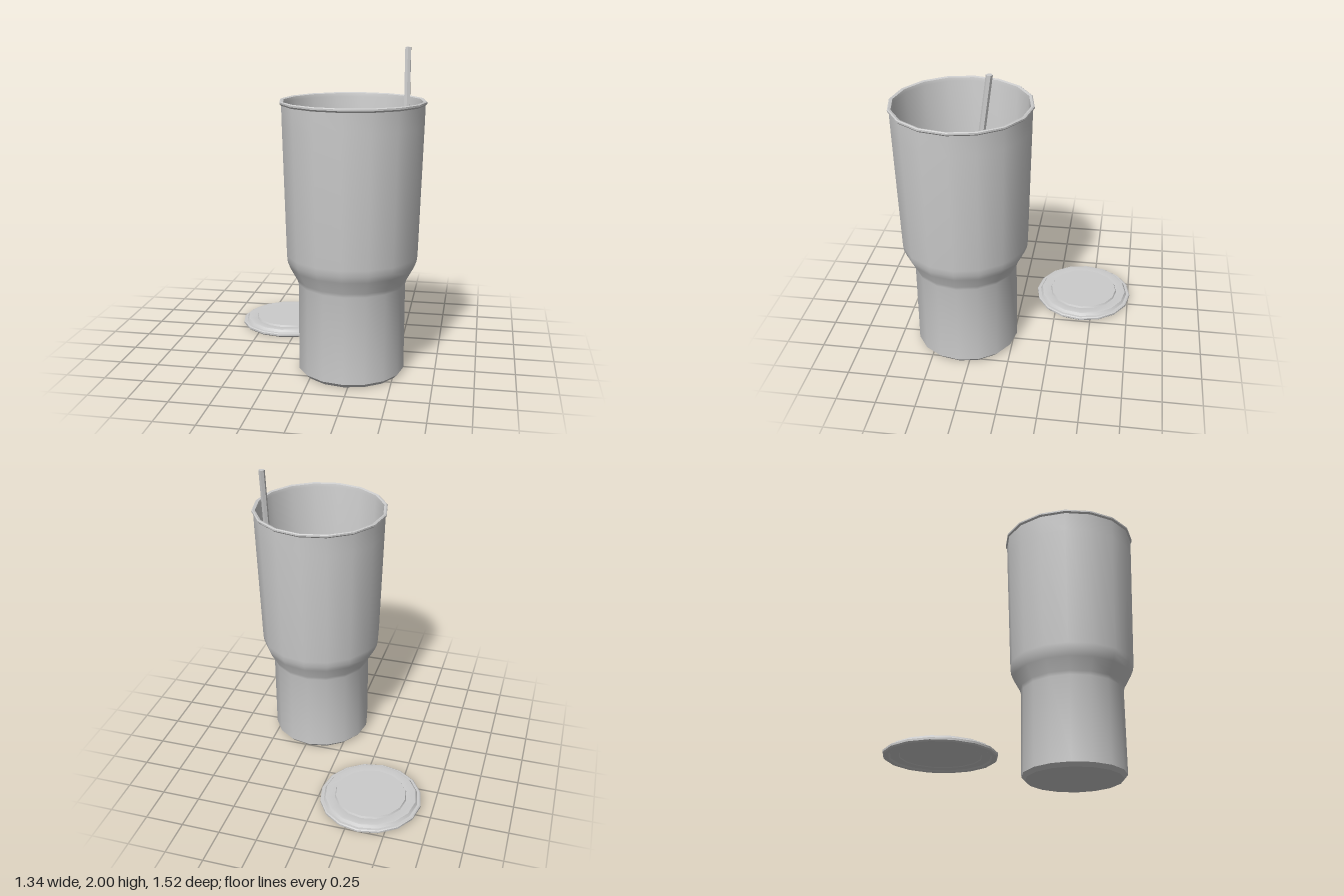
import * as THREE from 'three';
import { toCreasedNormals } from 'three/addons/utils/BufferGeometryUtils.js';

const SIDES = 16;

function createMaterial() {
  return new THREE.MeshStandardMaterial({ color: 0xcccccc });
}

// Revolve a closed [radius, height] profile, smooth around and sharp at the steps
function turned(name, profile, x, z) {
  const points = profile.map(([r, y]) => new THREE.Vector2(r, y));
  const geometry = toCreasedNormals(new THREE.LatheGeometry(points, SIDES), 0.6);
  const mesh = new THREE.Mesh(geometry, createMaterial());
  mesh.name = name;
  mesh.position.set(x, 0, z);
  return mesh;
}

// Straight six-sided straw, sheared so both ends stay level
function createStraw(bottom, top, radius) {
  const height = top.y - bottom.y;
  const geometry = new THREE.CylinderGeometry(radius, radius, height, 6);
  geometry.translate(0, height / 2, 0);
  const position = geometry.attributes.position;
  for (let i = 0; i < position.count; i++) {
    const t = position.getY(i) / height;
    position.setX(i, position.getX(i) + t * (top.x - bottom.x));
    position.setZ(i, position.getZ(i) + t * (top.z - bottom.z));
  }
  const mesh = new THREE.Mesh(toCreasedNormals(geometry, 0.6), createMaterial());
  mesh.name = 'straw';
  mesh.position.copy(bottom);
  return mesh;
}

export function createModel() {
  const model = new THREE.Group();
  model.name = 'tumbler';

  // Cup: narrow base, flared shoulder, tapered body, rim and inner well
  model.add(turned('cup', [
    [0, 0], [0.31, 0], [0.333, 0.025], [0.333, 0.575],
    [0.34, 0.6], [0.384, 0.68], [0.4, 0.72], [0.405, 0.76],
    [0.429, 1.55], [0.432, 1.675], [0.442, 1.685], [0.442, 1.695],
    [0.435, 1.7], [0.42, 1.695], [0.416, 1.675], [0.388, 0.73], [0, 0.73],
  ], 0.223, 0.313));

  // Lid lying flat behind the cup: stepped edge, shallow groove, raised disc
  model.add(turned('lid', [
    [0, 0.012], [0.235, 0.012], [0.24, 0.008], [0.29, 0.008], [0.3, 0],
    [0.325, 0], [0.333, 0.008], [0.333, 0.02], [0.326, 0.025], [0.31, 0.025],
    [0.298, 0.042], [0.288, 0.044], [0.236, 0.038], [0.23, 0.05], [0, 0.05],
  ], -0.337, -0.43));

  // Straw leaning inside the cup
  model.add(createStraw(
    new THREE.Vector3(0.538, 0.85, 0.243),
    new THREE.Vector3(0.526, 2, 0.086),
    0.02
  ));

  return model;
}
